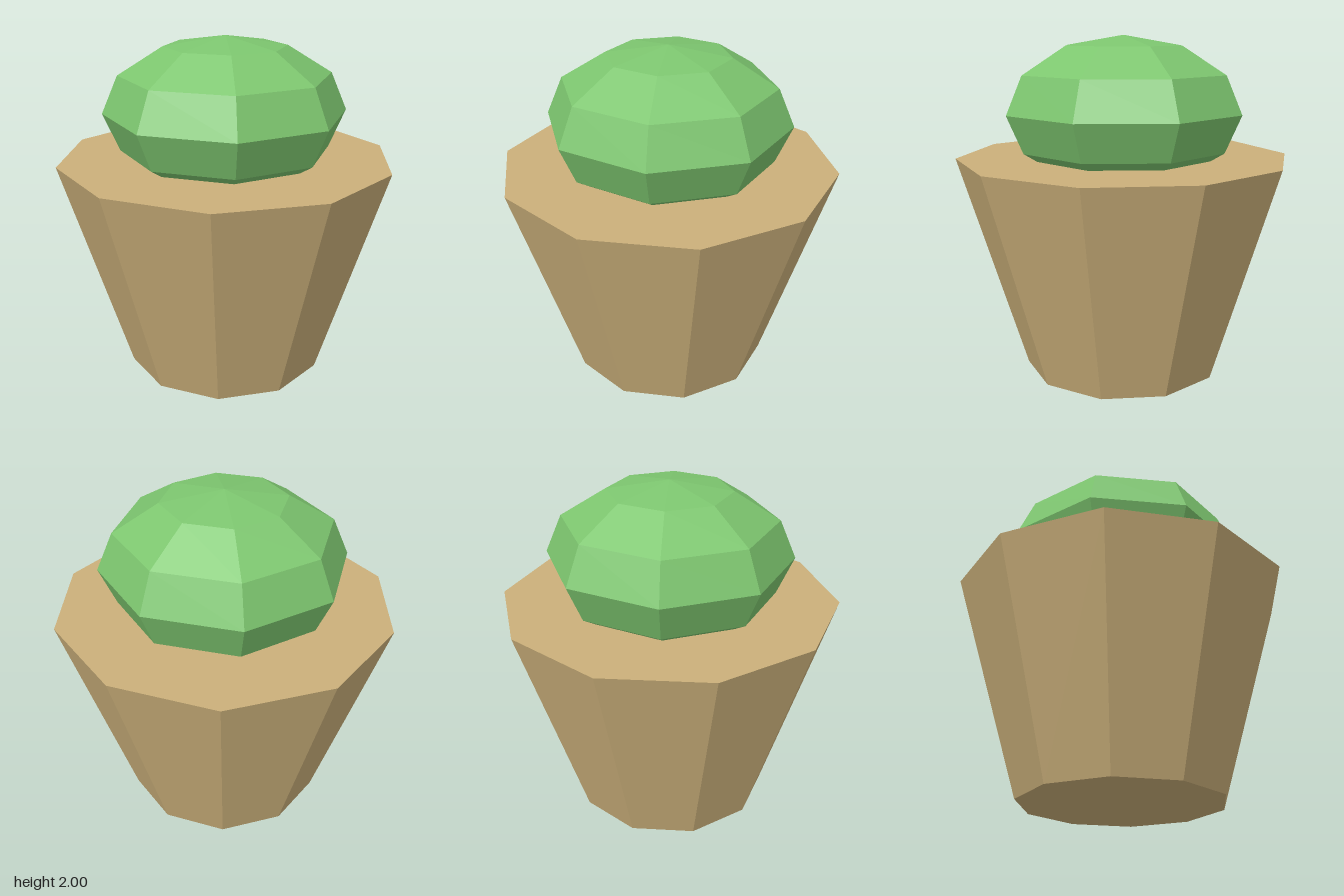
import * as THREE from 'three';

const flat = (color) => new THREE.MeshStandardMaterial({ color, flatShading: true });

function addPart(group, name, geometry, color, y) {
  const mesh = new THREE.Mesh(geometry, flat(color));
  mesh.name = name;
  mesh.position.y = y;
  group.add(mesh);
  return mesh;
}

export function createModel() {
  const model = new THREE.Group();
  model.name = 'pottedBush';

  // Ten-sided tapered pot with a closed top
  const potHeight = 1.29;
  addPart(model, 'pot', new THREE.CylinderGeometry(0.99, 0.595, potHeight, 10), 0xcbb07a, potHeight / 2);

  // Squashed low-poly ball of foliage, sunk into the pot
  const radius = 0.714, halfHeight = 0.44;
  const foliage = new THREE.SphereGeometry(radius, 8, 6).scale(1, halfHeight / radius, 1);
  addPart(model, 'foliage', foliage, 0x7dc66f, 2 - halfHeight);

  return model;
}
